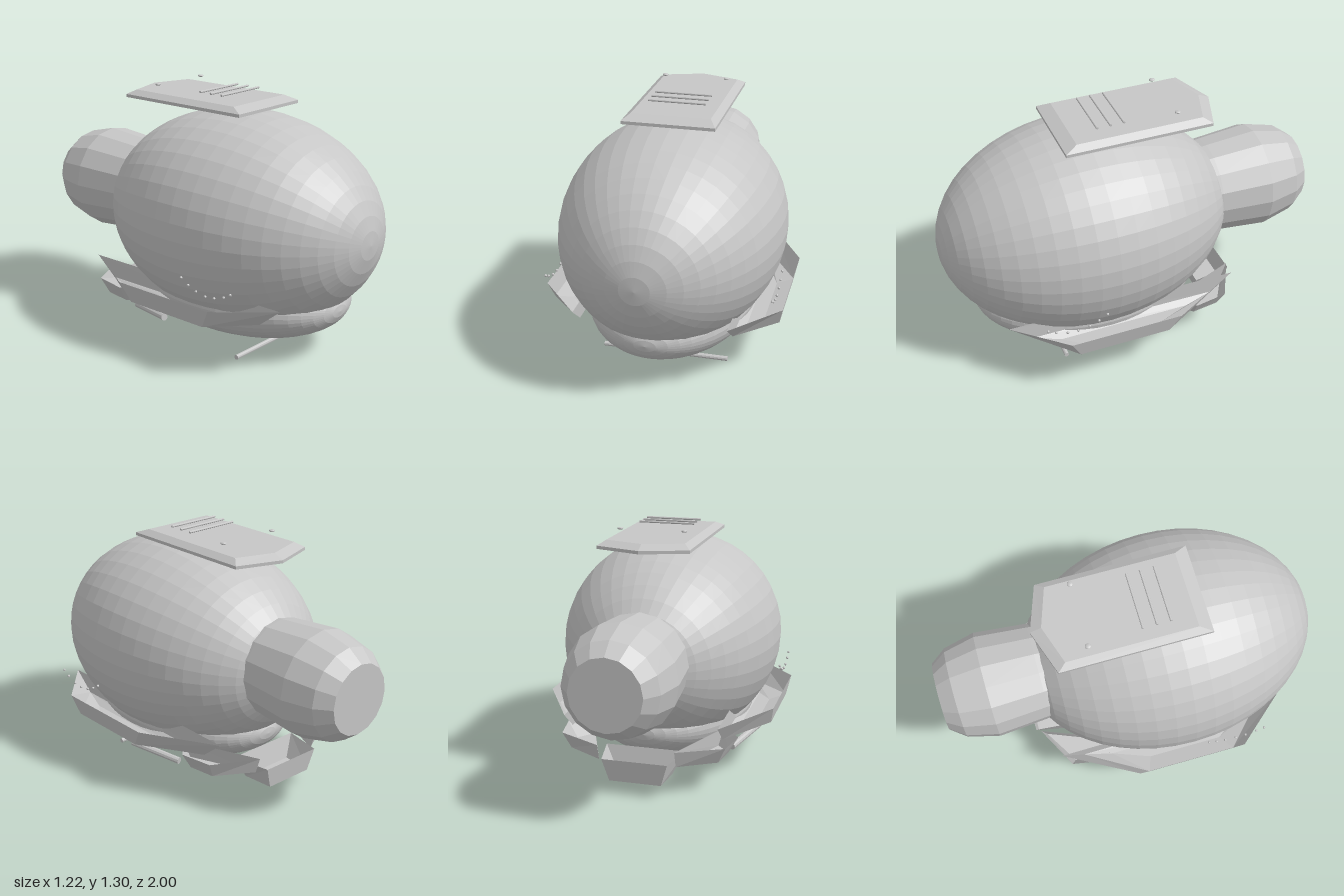
import * as THREE from 'three';

const grey = new THREE.MeshStandardMaterial({ color: 0xc6c6c6, flatShading: true, side: THREE.DoubleSide });
grey.name = 'hull grey';

// Joins horizontal rings of [x, z] corners, bottom to top; the top cap is optional
function loft(rings, heights, capTop) {
  const pos = [];
  const pts = rings.map((ring, k) => ring.map(([x, z]) => [x, heights[k], z]));
  const tri = (...corners) => corners.forEach((c) => pos.push(...c));
  const n = rings[0].length;
  for (let k = 0; k < rings.length - 1; k++) {
    const a = pts[k], b = pts[k + 1];
    for (let i = 0; i < n; i++) {
      const j = (i + 1) % n;
      tri(a[i], a[j], b[j]);
      tri(a[i], b[j], b[i]);
    }
  }
  const low = pts[0], high = pts[pts.length - 1];
  for (let i = 1; i < n - 1; i++) {
    tri(low[0], low[i + 1], low[i]);
    if (capTop) tri(high[0], high[i], high[i + 1]);
  }
  const g = new THREE.BufferGeometry();
  g.setAttribute('position', new THREE.Float32BufferAttribute(pos, 3));
  g.computeVertexNormals();
  return g;
}

const mirror = (ring, s) => (s > 0 ? ring : ring.map(([x, z]) => [-x, z]).reverse());

export function createModel() {
  const model = new THREE.Group();
  const add = (name, geometry, x = 0, y = 0, z = 0) => {
    const m = new THREE.Mesh(geometry, grey);
    m.name = name;
    m.position.set(x, y, z);
    model.add(m);
    return m;
  };
  const ellipsoid = (rx, ry, rz) =>
    new THREE.SphereGeometry(1, 40, 24).rotateX(Math.PI / 2).scale(rx, ry, rz);
  const rod = (name, from, to, r) => {
    const a = new THREE.Vector3(...from), b = new THREE.Vector3(...to);
    const d = b.clone().sub(a);
    const m = add(name, new THREE.CylinderGeometry(r, r, d.length(), 10));
    m.position.copy(a).add(b).multiplyScalar(0.5);
    m.quaternion.setFromUnitVectors(new THREE.Vector3(0, 1, 0), d.normalize());
  };

  // Main egg-shaped hull and the shallower one under it
  add('upperHull', ellipsoid(0.575, 0.55, 0.78), 0, 0.645, 0.22);
  add('lowerHull', ellipsoid(0.43, 0.23, 0.62), 0, 0.268, 0.22);

  // Rear barrel, closed at the back
  const barrel = [[0.24, 0.36], [0.256, 0.48], [0.28, 0.755], [0.24, 0.92], [0.18, 1], [0, 1]]
    .map(([r, h]) => new THREE.Vector2(r, h));
  add('rearBarrel', new THREE.LatheGeometry(barrel, 16).rotateX(-Math.PI / 2), 0, 0.672, 0);

  // Bevelled plate floating over the hull
  const base = [[0.235, 0.375], [0.235, -0.395], [0, -0.475], [-0.235, -0.395], [-0.235, 0.375]];
  const face = [[0.2, 0.31], [0.2, -0.352], [0, -0.418], [-0.2, -0.352], [-0.2, 0.31]];
  add('topPlate', loft([base, base, face], [1.214, 1.23, 1.254], true));
  for (const z of [0.045, 0.115, 0.185]) rod('topPlateBar', [-0.147, 1.284, z], [0.147, 1.284, z], 0.006);

  // Open trays below the hull; the side ones have a shallow keel
  const sideTop = [[0.385, 0.76], [0.61, 0.5], [0.61, -0.09], [0.4, -0.47]];
  const sideLow = [[0.39, 0.64], [0.59, 0.45], [0.59, -0.03], [0.4, -0.35]];
  const sideKeel = [[0.43, 0.5], [0.505, 0.4], [0.505, 0], [0.43, -0.2]];
  const rearTop = [[0.36, -0.14], [0.46, -0.25], [0.43, -0.425], [0.2, -0.545]];
  const rearLow = [[0.34, -0.17], [0.41, -0.255], [0.39, -0.4], [0.2, -0.515]];
  const arc = [0.61, 0.57, 0.51, 0.455, 0.395, 0.345, 0.3];
  for (const s of [1, -1]) {
    const sideRings = [sideKeel, sideLow, sideTop].map((ring) => mirror(ring, s));
    add('sideTray', loft(sideRings, [0.242, 0.265, 0.362]));
    add('rearSideTray', loft([mirror(rearLow, s), mirror(rearTop, s)], [0.16, 0.247]));
    rod('sideRod', [s * 0.495, 0.19, 0.11], [s * 0.41, 0.16, -0.165], 0.018);
    add('plateRivet', new THREE.SphereGeometry(0.015, 12, 8).scale(1, 0.45, 1), s * 0.165, 1.292, -0.23);
    // Curved row of small studs on the flank
    for (const z of arc) {
      const y = 0.417 + 2.2 * (z - 0.462) ** 2;
      add('flankStud', new THREE.SphereGeometry(0.007, 8, 6), s * 0.573, y, z);
    }
  }
  const tailTop = [[0.21, -0.36], [0.17, -0.57], [-0.17, -0.57], [-0.21, -0.36]];
  const tailLow = [[0.15, -0.39], [0.135, -0.555], [-0.135, -0.555], [-0.15, -0.39]];
  add('tailTray', loft([tailLow, tailTop], [0.068, 0.185]));

  // Thin cross bar below the lower hull
  rod('bottomBar', [-0.328, 0.0125, 0.445], [0.328, 0.0125, 0.445], 0.0125);

  return model;
}
